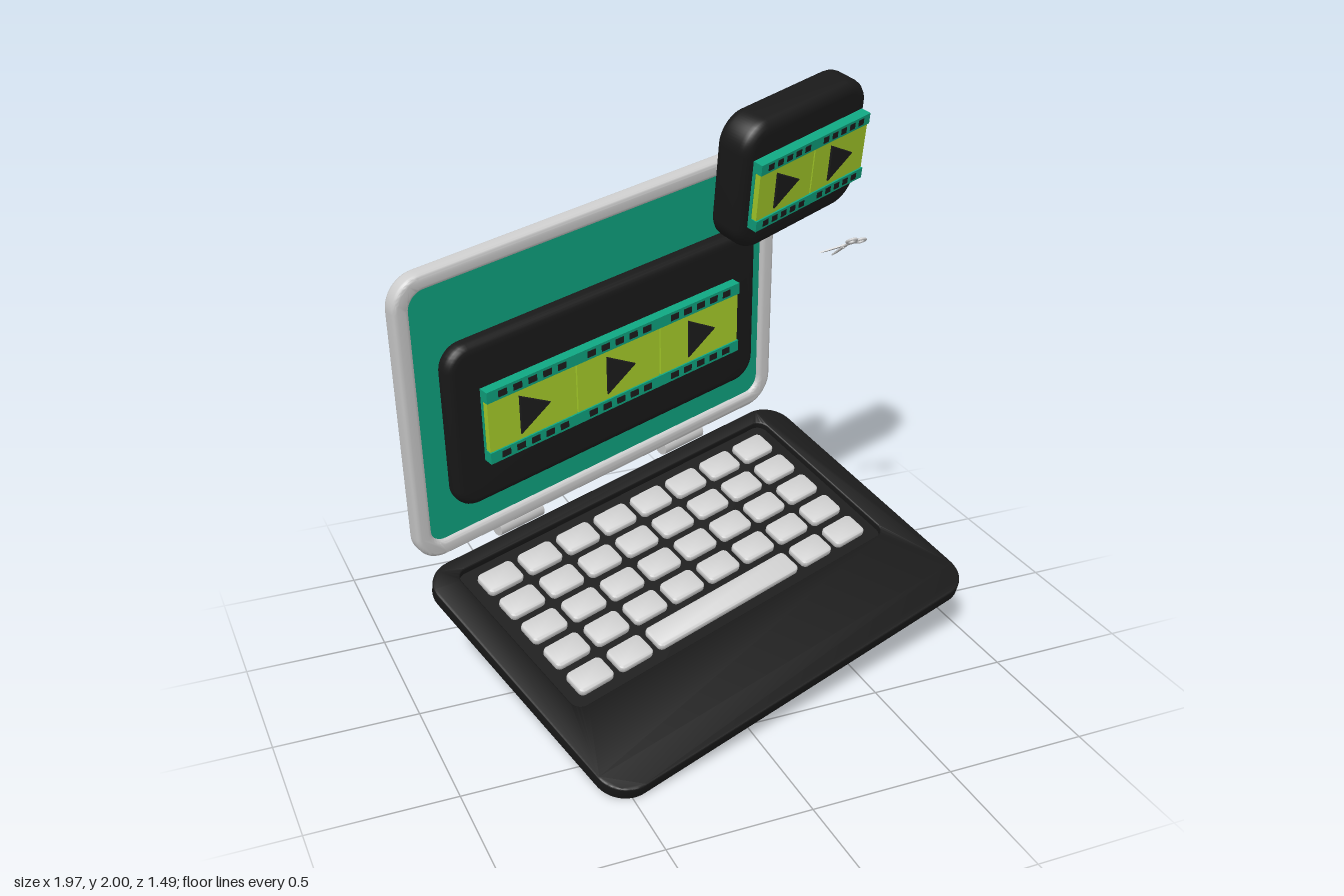
import * as THREE from 'three';
import { toCreasedNormals } from 'three/addons/utils/BufferGeometryUtils.js';

const paint = (color) => new THREE.MeshStandardMaterial({ color });
const silver = paint(0xcccccc), black = paint(0x191919), teal = paint(0x0fa37f);
const lime = paint(0xa8cf2a), ink = paint(0x1c1c1c);

function add(parent, name, geometry, material, x = 0, y = 0, z = 0) {
  const mesh = new THREE.Mesh(geometry, material);
  mesh.name = name;
  mesh.position.set(x, y, z);
  parent.add(mesh);
  return mesh;
}

// Group whose local x runs along u, y along v and z along their normal
function frame(parent, name, center, u, v) {
  const X = new THREE.Vector3(...u).normalize();
  const Z = X.clone().cross(new THREE.Vector3(...v)).normalize();
  const Y = Z.clone().cross(X);
  const g = new THREE.Group();
  g.name = name;
  g.quaternion.setFromRotationMatrix(new THREE.Matrix4().makeBasis(X, Y, Z));
  g.position.set(...center);
  parent.add(g);
  return g;
}

function roundRect(path, w, h, r, cx = 0, cy = 0) {
  const a = w / 2, b = h / 2;
  path.absarc(cx + a - r, cy + b - r, r, 0, Math.PI / 2);
  path.absarc(cx - a + r, cy + b - r, r, Math.PI / 2, Math.PI);
  path.absarc(cx - a + r, cy - b + r, r, Math.PI, Math.PI * 1.5);
  path.absarc(cx + a - r, cy - b + r, r, Math.PI * 1.5, Math.PI * 2);
  path.closePath();
  return path;
}

// Rounded slab spanning z0..z1 with soft edges and optional rounded opening
function slab(w, h, r, z0, z1, bevel, hole) {
  const shape = roundRect(new THREE.Shape(), w - 2 * bevel, h - 2 * bevel, r - bevel);
  if (hole) {
    const [hw, hh, hr, cy = 0] = hole;
    shape.holes.push(roundRect(new THREE.Path(), hw + 2 * bevel, hh + 2 * bevel, hr + bevel, 0, cy));
  }
  const g = new THREE.ExtrudeGeometry(shape, {
    depth: z1 - z0 - 2 * bevel, bevelEnabled: bevel > 0, bevelSize: bevel,
    bevelThickness: bevel, bevelSegments: 4, curveSegments: 8,
  });
  g.translate(0, 0, z0 + bevel);
  return toCreasedNormals(g, 0.6);
}

// Film strip: lime frames between two teal rails, with sprocket holes and play arrows
function filmStrip(parent, frames, frameW, h, z) {
  const g = new THREE.Group();
  g.name = 'filmStrip';
  g.position.z = z;
  parent.add(g);
  const w = frames * frameW, rail = h * 0.155, mid = h - 2 * rail;
  add(g, 'filmBack', new THREE.BoxGeometry(w, h - 0.01, 0.012), teal, 0, 0, 0.006);
  const railGeo = new THREE.BoxGeometry(w, rail, 0.04);
  const holeGeo = new THREE.BoxGeometry(frameW * 0.095, rail * 0.55, 0.004);
  const picture = new THREE.BoxGeometry(frameW - 0.006, mid, 0.034);
  const s = h * 0.25;
  const tri = new THREE.Shape([
    new THREE.Vector2(-s * 0.75, -s), new THREE.Vector2(s * 0.9, 0), new THREE.Vector2(-s * 0.75, s),
  ]);
  const arrow = new THREE.ExtrudeGeometry(tri, {
    depth: 0.004, bevelSize: 0.004, bevelThickness: 0.003, bevelSegments: 2,
  });
  for (const side of [-1, 1])
    add(g, 'rail', railGeo, teal, 0, side * (h - rail) / 2, 0.02);
  for (let i = 0; i < frames; i++) {
    const x = (i - (frames - 1) / 2) * frameW;
    add(g, 'picture', picture, lime, x, 0, 0.017);
    add(g, 'playArrow', arrow, ink, x, 0, 0.035);
    for (let k = -2; k <= 2; k++)
      for (const side of [-1, 1])
        add(g, 'sprocketHole', holeGeo, ink, x + k * frameW * 0.165, side * (h - rail) / 2, 0.04);
  }
}

function keyboardBase(root) {
  const g = frame(root, 'base', [0.05, 0.295, 0.022], [0.948, 0.113, -0.296], [-0.317, 0.338, -0.885]);
  const cy = 0.147, dx = 0.171, dy = 0.128, kw = 0.145, kh = 0.097;
  add(g, 'baseDeck', slab(1.662, 1.112, 0.11, -0.025, 0.025, 0.006, [1.45, 0.7, 0.04, cy]), black);
  add(g, 'baseFloor', slab(1.64, 1.09, 0.1, -0.025, -0.002, 0), black);
  const key = slab(kw, kh, 0.02, -0.004, 0.023, 0.008);
  const space = slab(3 * dx + kw, kh, 0.02, -0.004, 0.023, 0.008);
  for (let row = 0; row < 5; row++)
    for (let col = 0; col < 8; col++) {
      if (row === 4 && col > 1 && col < 6) continue;
      add(g, 'key', key, silver, (col - 3.5) * dx, cy + (2 - row) * dy);
    }
  add(g, 'spaceBar', space, silver, 0, cy - 2 * dy);
}

function screen(root) {
  const g = frame(root, 'screen', [-0.172, 1.085, -0.405], [0.948, 0.113, -0.296], [-0.0695, 0.984, 0.1614]);
  add(g, 'screenRim', slab(1.65, 1.115, 0.11, -0.03, 0.03, 0.016, [1.53, 0.995, 0.06]), silver);
  add(g, 'screenBack', slab(1.61, 1.075, 0.09, -0.03, 0, 0), silver);
  add(g, 'display', slab(1.57, 1.035, 0.07, 0, 0.012, 0), teal);
  // Raised video window
  const win = new THREE.Group();
  win.name = 'videoWindow';
  win.position.set(0.007, -0.056, 0);
  g.add(win);
  add(win, 'videoPanel', slab(1.37, 0.64, 0.09, 0, 0.075, 0.03), black);
  filmStrip(win, 3, 0.377, 0.29, 0.073);
  // Hinge barrels under the lower edge
  const barrel = new THREE.CylinderGeometry(0.034, 0.034, 0.19, 20).rotateZ(Math.PI / 2);
  for (const side of [-1, 1]) add(g, 'hinge', barrel, silver, side * 0.385, -0.58, -0.01);
}

function floatingClip(root) {
  const g = frame(root, 'floatingClip', [0.512, 1.72, -0.3], [0.924, 0.159, -0.347], [-0.057, 0.956, 0.287]);
  add(g, 'clipPanel', slab(0.62, 0.505, 0.11, -0.075, 0.075, 0.04), black);
  filmStrip(g, 2, 0.275, 0.265, 0.078);
}

function scissors(root) {
  const g = frame(root, 'scissors', [0.667, 1.416, -0.165], [1, 0, 0], [0, 0.6, 0.8]);
  const halves = [[-0.075, -0.045, 0.055, 0.034], [-0.012, -0.08, 0.006, 0.062]];
  halves.forEach(([tx, ty, rx, ry], i) => {
    const len = Math.hypot(tx, ty), arm = Math.hypot(rx, ry);
    // Blade pointing along +x from the pivot, handle arm along -x
    const outline = new THREE.Shape([
      new THREE.Vector2(len, 0), new THREE.Vector2(len * 0.7, 0.008), new THREE.Vector2(0, 0.008),
      new THREE.Vector2(-arm + 0.015, 0.005), new THREE.Vector2(-arm + 0.015, -0.005), new THREE.Vector2(0, -0.007),
    ]);
    const blade = new THREE.ExtrudeGeometry(outline, { depth: 0.005, bevelEnabled: false });
    const z = i * 0.005 - 0.005;
    add(g, 'blade', blade, silver, 0, 0, z).rotation.z = Math.atan2(ty, tx);
    add(g, 'fingerRing', new THREE.TorusGeometry(0.018, 0.005, 8, 20), silver, rx, ry, z + 0.0025);
  });
  add(g, 'pivot', new THREE.CylinderGeometry(0.005, 0.005, 0.014, 12).rotateX(Math.PI / 2), silver);
}

export function createModel() {
  const root = new THREE.Group();
  root.name = 'videoEditingLaptop';
  keyboardBase(root);
  screen(root);
  floatingClip(root);
  scissors(root);
  return root;
}
